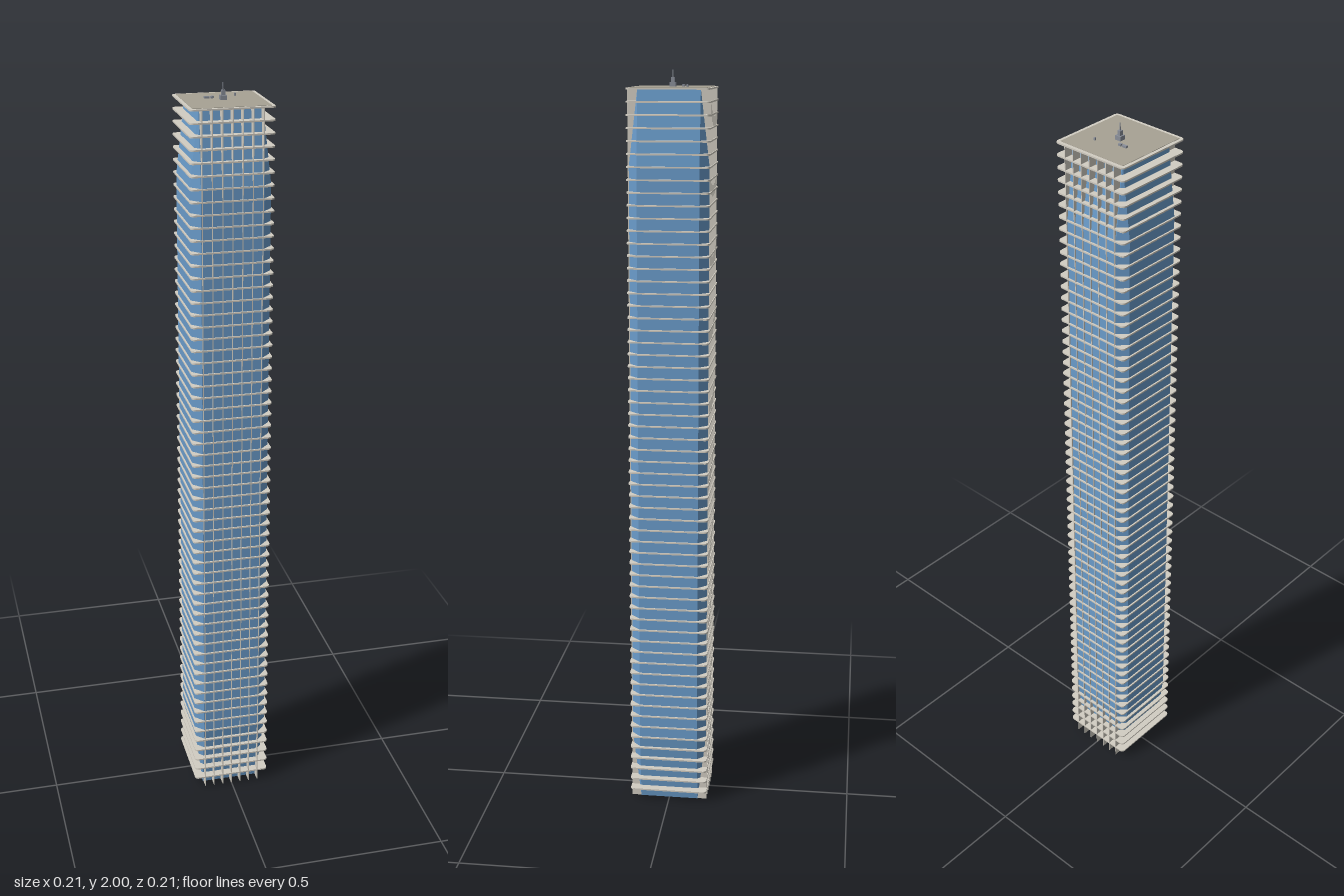
import * as THREE from 'three';

const TOP = 1.955, FLOORS = 61, PITCH = TOP / FLOORS;
const CORE = 0.08, GLASS = 0.103, EDGE = 0.107;

const paint = (color) => new THREE.MeshStandardMaterial({ color, flatShading: true });
const glass = paint(0x6a9ccb), stone = paint(0xd2cdc2), deck = paint(0xa7a294), metal = paint(0x8a8f9a);

function add(parent, name, geometry, material, x = 0, y = 0, z = 0) {
  const mesh = new THREE.Mesh(geometry, material);
  mesh.name = name;
  mesh.position.set(x, y, z);
  parent.add(mesh);
  return mesh;
}

// Box standing on height y
function standing(parent, name, w, h, d, material, x, y, z) {
  return add(parent, name, new THREE.BoxGeometry(w, h, d), material, x, y + h / 2, z);
}

// Square plan with chamfered corners: four faces of fixed width pushed out to "reach"
function ring(reach, y) {
  const c = CORE, r = reach;
  return [[c, r], [r, c], [r, -c], [c, -r], [-c, -r], [-r, -c], [-r, c], [-c, r]].map(([x, z]) => [x, y, z]);
}

function glassBody() {
  const rings = [ring(CORE, 0), ring(GLASS, 6 * PITCH), ring(GLASS, TOP - 6 * PITCH), ring(CORE, TOP)];
  const pos = [];
  for (let k = 0; k < 3; k++) {
    for (let i = 0; i < 8; i++) {
      const j = (i + 1) % 8;
      const a = rings[k][i], b = rings[k][j], c = rings[k + 1][j], d = rings[k + 1][i];
      pos.push(...a, ...b, ...c, ...a, ...c, ...d);
    }
  }
  for (let i = 1; i < 7; i++) {
    pos.push(...rings[0][0], ...rings[0][i + 1], ...rings[0][i]);
    pos.push(...rings[3][0], ...rings[3][i], ...rings[3][i + 1]);
  }
  const g = new THREE.BufferGeometry();
  g.setAttribute('position', new THREE.Float32BufferAttribute(pos, 3));
  g.computeVertexNormals();
  return g;
}

// Thin square plate with rounded corners, top face at y = 0
function plate(half, radius, thickness) {
  const s = new THREE.Shape();
  const k = half - radius;
  s.absarc(k, k, radius, 0, Math.PI / 2);
  s.absarc(-k, k, radius, Math.PI / 2, Math.PI);
  s.absarc(-k, -k, radius, Math.PI, Math.PI * 1.5);
  s.absarc(k, -k, radius, Math.PI * 1.5, Math.PI * 2);
  const g = new THREE.ExtrudeGeometry(s, { depth: thickness, bevelEnabled: false, curveSegments: 4 });
  g.rotateX(-Math.PI / 2);
  g.translate(0, -thickness, 0);
  return g;
}

export function createModel() {
  const tower = new THREE.Group();
  tower.name = 'tower';

  // Curtain wall, drawn in at the foot and the head
  add(tower, 'glassBody', glassBody(), glass);

  // Projecting floor slabs
  const slabs = new THREE.Group();
  slabs.name = 'floorSlabs';
  tower.add(slabs);
  const slab = plate(EDGE, 0.01, 0.004);
  for (let i = 1; i <= FLOORS; i++) add(slabs, 'floorSlab', slab, stone, 0, i * PITCH + 0.002, 0);

  // Vertical fins on front and back
  const fins = new THREE.Group();
  fins.name = 'fins';
  tower.add(fins);
  for (const side of [1, -1]) {
    for (let i = -3; i <= 3; i++) {
      standing(fins, 'fin', 0.002, TOP, 0.03, stone, i * 0.0257, 0, side * (EDGE - 0.016));
    }
  }

  // Roof deck and equipment
  const roof = new THREE.Group();
  roof.name = 'roof';
  roof.position.y = TOP + 0.002;
  tower.add(roof);
  add(roof, 'roofDeck', plate(0.098, 0.002, 0.002), deck, 0, 0.001, 0);
  standing(roof, 'mastBase', 0.016, 0.012, 0.016, metal, 0, 0, 0);
  standing(roof, 'mastShaft', 0.009, 0.024, 0.009, metal, 0, 0, 0);
  add(roof, 'mastTip', new THREE.CylinderGeometry(0.001, 0.002, 0.02, 8), metal, 0, 0.033, 0);
  standing(roof, 'plantBoxLarge', 0.013, 0.006, 0.007, metal, -0.036, 0, -0.024);
  standing(roof, 'plantBoxSmall', 0.008, 0.006, 0.007, metal, -0.022, 0, -0.024);
  standing(roof, 'ventPipe', 0.004, 0.008, 0.004, metal, 0.041, 0, -0.042);

  return tower;
}
